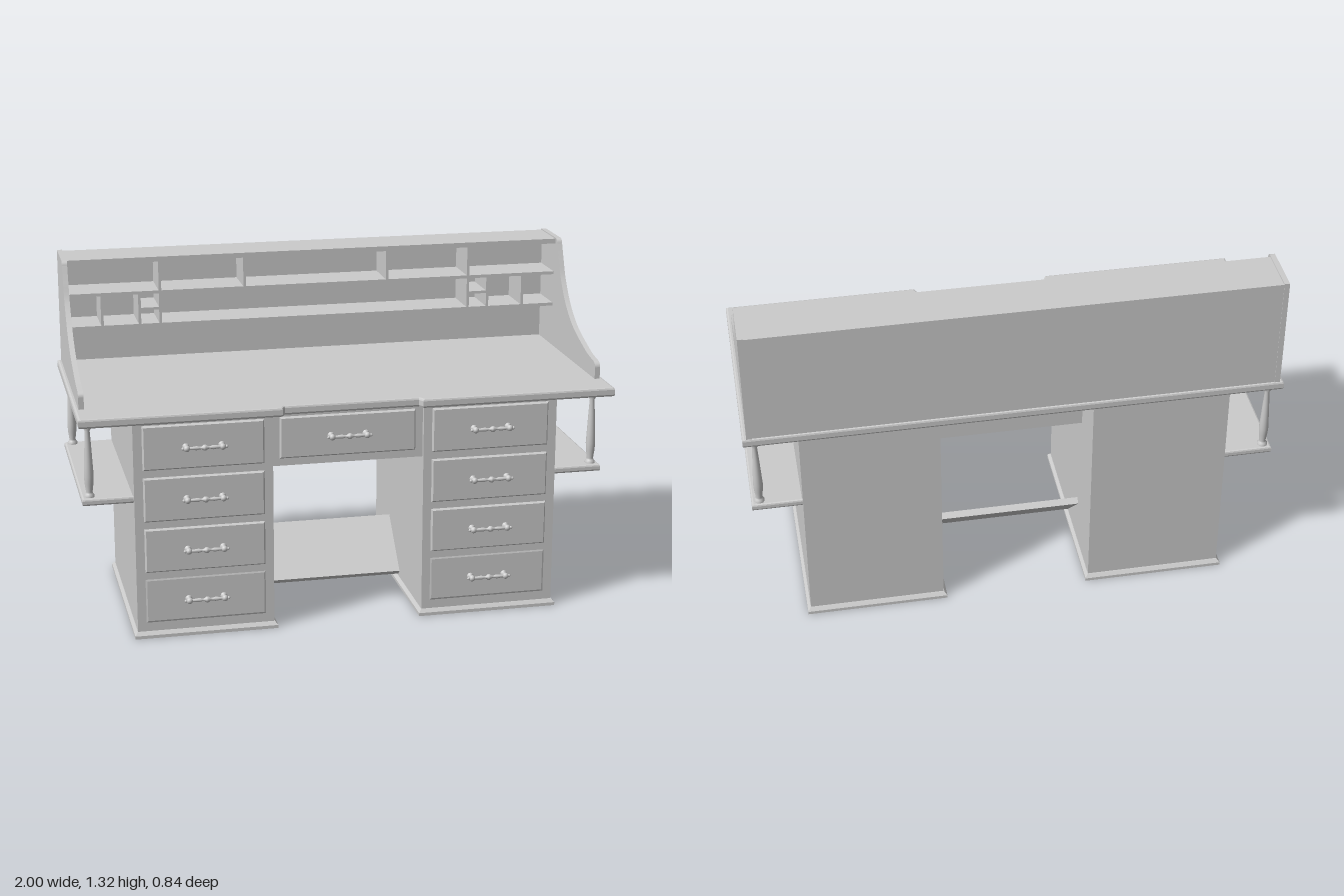
import * as THREE from 'three';

const material = new THREE.MeshStandardMaterial({ color: 0xcccccc, side: THREE.DoubleSide });

function add(parent, name, geometry, x = 0, y = 0, z = 0) {
  const mesh = new THREE.Mesh(geometry, material);
  mesh.name = name;
  mesh.position.set(x, y, z);
  parent.add(mesh);
  return mesh;
}

// Box given by its limits on each axis
function slab(parent, name, [x0, x1], [y0, y1], [z0, z1]) {
  return add(parent, name, new THREE.BoxGeometry(x1 - x0, y1 - y0, z1 - z0),
    (x0 + x1) / 2, (y0 + y1) / 2, (z0 + z1) / 2);
}

// Horizontal board with chamfered edges, from an outline of [x, z] points
function board(parent, name, outline, y0, y1, bevel) {
  const shape = new THREE.Shape(outline.map(([x, z]) => new THREE.Vector2(x, -z)));
  const geometry = new THREE.ExtrudeGeometry(shape, {
    depth: y1 - y0 - 2 * bevel, bevelThickness: bevel, bevelSize: bevel,
    bevelOffset: -bevel, bevelSegments: 2,
  });
  geometry.rotateX(-Math.PI / 2);
  return add(parent, name, geometry, 0, y0 + bevel, 0);
}

const rectangle = (x0, x1, z0, z1) => [[x0, z1], [x1, z1], [x1, z0], [x0, z0]];

// Skirt whose upper edge slopes inwards
function skirt(parent, x0, x1, z0, z1) {
  const inset = 0.01;
  slab(parent, 'skirtBase', [x0, x1], [0, 0.012], [z0, z1]);
  const cap = slab(parent, 'skirtMoulding', [x0, x1], [0.012, 0.024], [z0, z1]);
  const p = cap.geometry.attributes.position;
  for (let i = 0; i < p.count; i++) {
    if (p.getY(i) > 0) {
      p.setX(i, p.getX(i) - Math.sign(p.getX(i)) * inset);
      p.setZ(i, p.getZ(i) - Math.sign(p.getZ(i)) * inset);
    }
  }
  cap.geometry.computeVertexNormals();
}

const lathe = (points, segments) =>
  new THREE.LatheGeometry(points.map(([r, y]) => new THREE.Vector2(r, y)), segments);

// Turned pull: two posts with knobs and a beaded bar
function handle(parent, x, y, z) {
  const group = new THREE.Group();
  group.name = 'drawerHandle';
  group.position.set(x, y, z);
  for (const s of [-1, 1]) {
    const post = lathe([[0.013, 0], [0.013, 0.003], [0.006, 0.008], [0.006, 0.026]], 12);
    post.rotateX(Math.PI / 2);
    add(group, 'handlePost', post, s * 0.066);
    add(group, 'handleKnob', new THREE.SphereGeometry(0.012, 12, 8), s * 0.066, 0, 0.026);
    add(group, 'handleTip', new THREE.SphereGeometry(0.006, 8, 6), s * 0.08, 0, 0.026);
  }
  const half = [[0.005, 0.066], [0.006, 0.045], [0.008, 0.03], [0.005, 0.02], [0.005, 0.012], [0.011, 0.004]];
  const bar = lathe([...half.map(([r, t]) => [r, -t]), ...half.slice().reverse()], 12);
  bar.rotateZ(Math.PI / 2);
  add(group, 'handleBar', bar, 0, 0, 0.026);
  parent.add(group);
}

// Drawer front with a chamfered border and a shallow raised field
function drawer(parent, x, y, width, height, z, rise) {
  const shape = new THREE.Shape();
  const w = width / 2, h = height / 2, b = 0.006;
  shape.moveTo(-w, -h).lineTo(w, -h).lineTo(w, h).lineTo(-w, h).closePath();
  add(parent, 'drawerFront', new THREE.ExtrudeGeometry(shape, {
    depth: 0.002, bevelThickness: rise, bevelSize: b, bevelOffset: -b, bevelSegments: 1,
  }), x, y, z - 0.002);
  handle(parent, x, y, z + rise);
}

function pedestal(s) {
  const group = new THREE.Group();
  group.name = s > 0 ? 'leftPedestal' : 'rightPedestal';
  const xs = (a, b) => (s > 0 ? [a, b] : [-b, -a]);
  slab(group, 'pedestalBody', xs(0.285, 0.8), [0.01, 0.85], [-0.405, 0.342]);
  skirt(group, ...xs(0.273, 0.812), -0.42, 0.357);
  for (const [y, rise] of [[0.143, 0.002], [0.34, 0.008], [0.537, 0.008], [0.735, 0.008]]) {
    drawer(group, s * 0.542, y, 0.45, 0.17, 0.342, rise);
  }
  return group;
}

// Open side shelf hung from the top on two turned posts
function sideShelf(s) {
  const group = new THREE.Group();
  group.name = s > 0 ? 'leftSideShelf' : 'rightSideShelf';
  const [x0, x1] = s > 0 ? [0.795, 0.987] : [-0.987, -0.795];
  board(group, 'shelfBoard', rectangle(x0, x1, -0.392, 0.327), 0.524, 0.55, 0.007);
  const profile = [[0.019, 0], [0.019, 0.008], [0.014, 0.014], [0.012, 0.02], [0.016, 0.05],
    [0.018, 0.08], [0.016, 0.12], [0.012, 0.2], [0.009, 0.252], [0.014, 0.26], [0.011, 0.268],
    [0.017, 0.283], [0.018, 0.298]];
  for (const z of [0.292, -0.365]) add(group, 'turnedPost', lathe(profile, 16), s * 0.957, 0.549, z);
  return group;
}

// Curved end panel of the upper cabinet
function endPanel(parent, s) {
  const shape = new THREE.Shape();
  shape.moveTo(-0.415, 0.875).lineTo(0.288, 0.875).lineTo(0.288, 0.925);
  shape.quadraticCurveTo(0.286, 0.94, 0.268, 0.945);
  shape.splineThru([[0.2, 0.955], [0.14, 0.972], [0.08, 0.992], [0.015, 1.018], [-0.05, 1.06],
    [-0.1, 1.107], [-0.15, 1.175], [-0.18, 1.24], [-0.205, 1.3]].map(([z, y]) => new THREE.Vector2(z, y)));
  shape.quadraticCurveTo(-0.21, 1.318, -0.225, 1.318);
  shape.lineTo(-0.415, 1.318).closePath();
  const geometry = new THREE.ExtrudeGeometry(shape, { depth: 0.02, bevelEnabled: false, curveSegments: 20 });
  geometry.rotateY(-Math.PI / 2);
  add(parent, 'curvedEndPanel', geometry, s > 0 ? 0.985 : -0.965);
}

function upperCabinet() {
  const group = new THREE.Group();
  group.name = 'upperCabinet';
  const inner = [-0.966, 0.966], depth = [-0.405, -0.24];
  slab(group, 'backPanel', inner, [0.875, 1.312], [-0.413, -0.401]);
  slab(group, 'cabinetTop', inner, [1.295, 1.314], [-0.413, -0.23]);
  slab(group, 'upperShelf', inner, [1.168, 1.18], depth);
  slab(group, 'lowerShelf', inner, [1.04, 1.052], depth);
  const divider = (x, y0, y1) => slab(group, 'divider', [x - 0.005, x + 0.005], [y0, y1], depth);
  for (const s of [-1, 1]) {
    endPanel(group, s);
    for (const x of [0.283, 0.612]) divider(s * x, 1.18, 1.295);
    for (const x of [0.612, 0.692, 0.836]) divider(s * x, 1.052, 1.168);
    const [x0, x1] = s > 0 ? [0.612, 0.692] : [-0.692, -0.612];
    slab(group, 'smallShelf', [x0, x1], [1.105, 1.115], depth);
  }
  return group;
}

export function createModel() {
  const desk = new THREE.Group();
  desk.name = 'writingDesk';

  // Worktop with a shallow recess over the knee hole
  board(desk, 'worktop', [[-1, 0.42], [-0.262, 0.42], [-0.25, 0.397], [0.25, 0.397], [0.262, 0.42],
    [1, 0.42], [1, -0.42], [-1, -0.42]], 0.845, 0.88, 0.008);

  for (const s of [-1, 1]) desk.add(pedestal(s), sideShelf(s));

  // Drawer box between the pedestals
  const centre = new THREE.Group();
  centre.name = 'centreDrawer';
  slab(centre, 'drawerBox', [-0.286, 0.286], [0.63, 0.85], [-0.22, 0.325]);
  drawer(centre, 0, 0.738, 0.515, 0.16, 0.325, 0.008);
  desk.add(centre);

  // Sloping foot rest
  const rest = add(desk, 'footRest', new THREE.BoxGeometry(0.572, 0.026, 0.25), 0, 0.128, -0.1);
  rest.rotation.x = Math.PI / 4;

  desk.add(upperCabinet());
  return desk;
}
